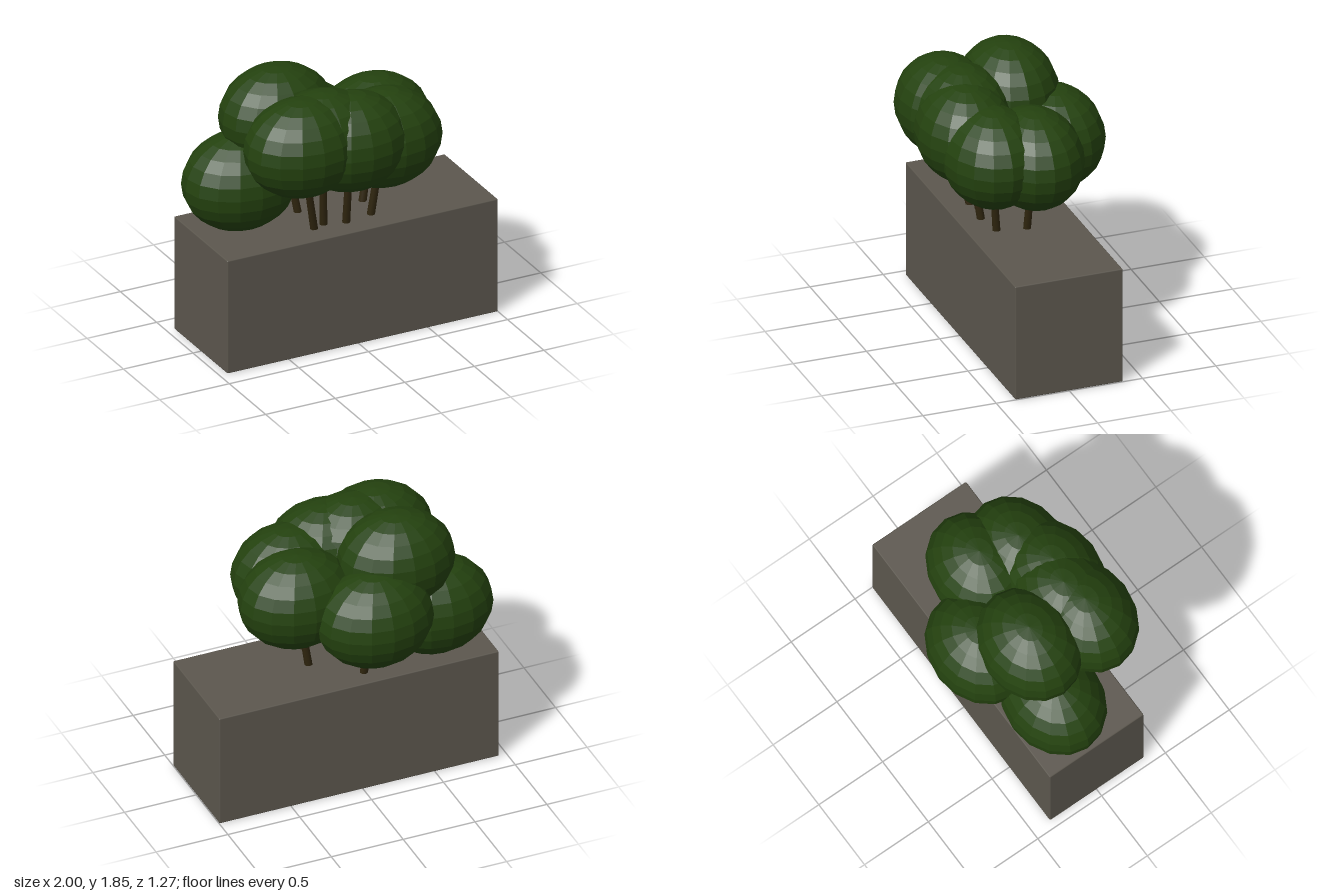
import * as THREE from 'three';
import { RoundedBoxGeometry } from 'three/addons/geometries/RoundedBoxGeometry.js';

const material = (name, color) => {
  const m = new THREE.MeshStandardMaterial({ color });
  m.name = name;
  return m;
};

// Leaf clump centre [x, y, z], then the foot of its trunk [x, z]
const CLUMPS = [
  [[-0.61, 1.10, -0.10], [-0.45, -0.06]],
  [[-0.345, 1.515, -0.10], [-0.21, -0.06]],
  [[-0.10, 1.26, -0.32], [-0.06, -0.23]],
  [[0.31, 1.335, -0.02], [0.22, -0.01]],
  [[0.245, 1.36, 0.24], [0.18, 0.18]],
  [[-0.38, 1.46, 0.315], [-0.23, 0.20]],
  [[-0.03, 1.425, 0.315], [-0.01, 0.21]],
  [[-0.21, 1.46, 0.27], [-0.15, 0.17]],
];

export function createModel() {
  const group = new THREE.Group();
  const stone = material('stone', 0x5c574e);
  const leaf = material('leaf', 0x24420f);
  leaf.flatShading = true;
  const bark = material('bark', 0x30260f);

  const add = (name, geometry, mat) => {
    const mesh = new THREE.Mesh(geometry, mat);
    mesh.name = name;
    group.add(mesh);
    return mesh;
  };

  // Planter block with slightly softened edges
  add('planter', new RoundedBoxGeometry(1.945, 0.8, 0.735, 1, 0.008), stone)
    .position.set(0.027, 0.4, 0.002);

  // Flattened leaf clumps, each on a leaning trunk
  const clumpGeometry = new THREE.SphereGeometry(1, 16, 12);
  const up = new THREE.Vector3(0, 1, 0);
  CLUMPS.forEach(([centre, [fx, fz]], i) => {
    const clump = add(`leafClump${i + 1}`, clumpGeometry, leaf);
    clump.position.set(...centre);
    clump.scale.set(0.39, 0.33, 0.32);

    const foot = new THREE.Vector3(fx, 0.77, fz);
    const axis = new THREE.Vector3(...centre).sub(foot);
    const trunk = add(`trunk${i + 1}`, new THREE.CylinderGeometry(0.022, 0.027, axis.length(), 8), bark);
    trunk.position.copy(foot).addScaledVector(axis, 0.5);
    trunk.quaternion.setFromUnitVectors(up, axis.normalize());
  });

  return group;
}
